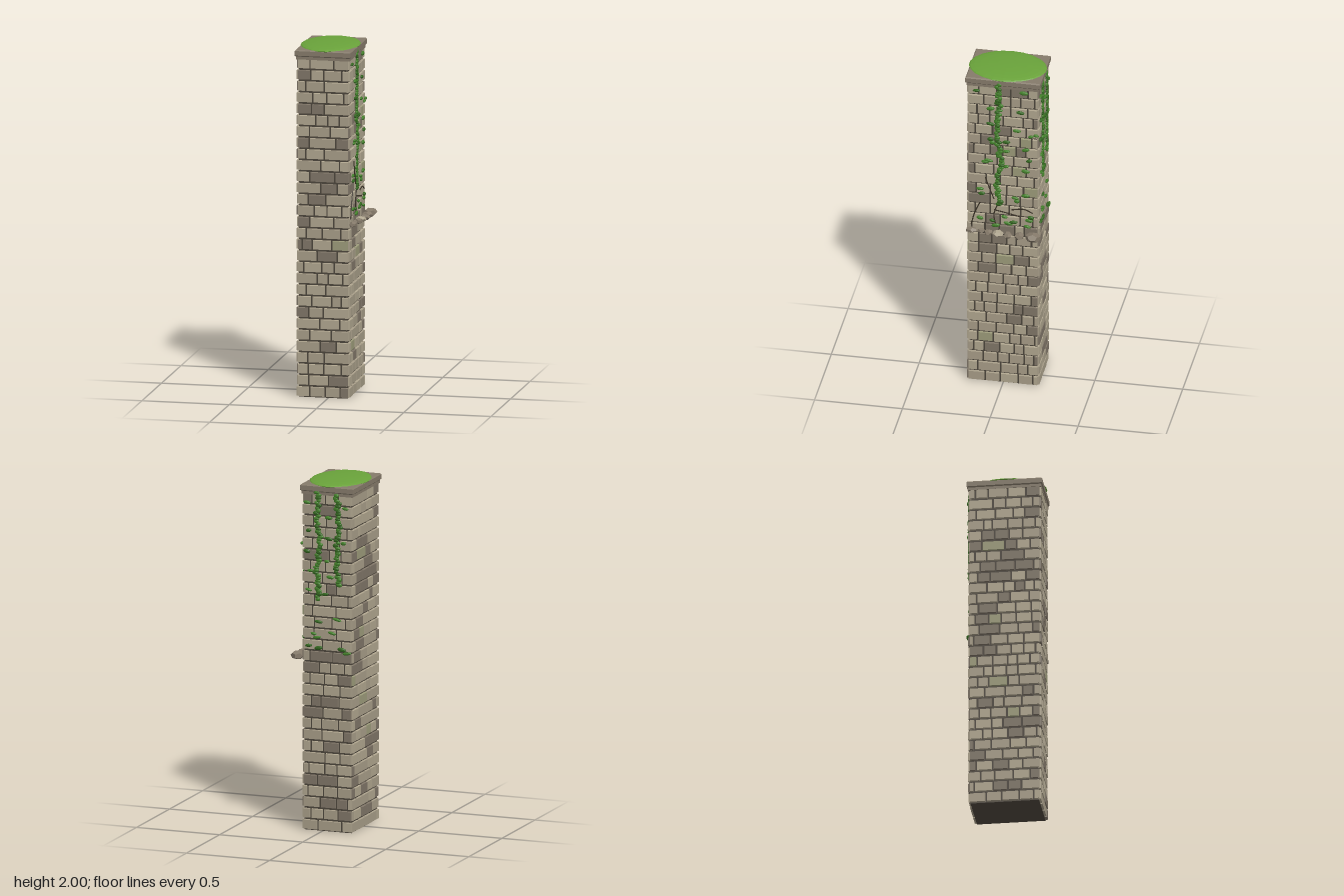
import * as THREE from 'three';
import { mergeGeometries } from 'three/addons/utils/BufferGeometryUtils.js';

const paint = (name, color) => {
  const m = new THREE.MeshStandardMaterial({ color });
  m.name = name;
  return m;
};

const CX = -0.03, HX = 0.15, HZ = 0.203;   // pillar centre and half sizes
const ROWS = 30, TOP = 1.935, PITCH = TOP / ROWS;

export function createModel() {
  const mats = {
    mortar: paint('mortar', 0x4c453b),
    brick: paint('brick', 0xa69c87),
    paleBrick: paint('paleBrick', 0xafa58e),
    darkBrick: paint('darkBrick', 0x7f7567),
    mossyBrick: paint('mossyBrick', 0x9b9a79),
    stone: paint('stone', 0x857a6a),
    moss: paint('moss', 0x69a23a),
    leaf: paint('leaf', 0x43802a),
    darkLeaf: paint('darkLeaf', 0x33661f),
    twig: paint('twig', 0x3c3428),
  };
  let seed = 71;
  const rnd = () => (seed = (seed * 16807) % 2147483647) / 2147483647;
  const vary = (a) => (rnd() * 2 - 1) * a;

  const flat = (g) => {
    const f = g.index ? g.toNonIndexed() : g;
    f.computeVertexNormals();
    return f;
  };
  const add = (parent, name, geo, mat) => {
    const mesh = new THREE.Mesh(geo, mat);
    mesh.name = name;
    parent.add(mesh);
    return mesh;
  };

  const model = new THREE.Group();
  model.name = 'mossyPillar';

  // Mortar core
  const core = new THREE.BoxGeometry(2 * HX - 0.02, TOP + 0.01, 2 * HZ - 0.02);
  add(model, 'mortarCore', core.translate(CX, (TOP + 0.01) / 2, 0), mats.mortar);

  // One side of the pillar: local x runs along the wall, local z points outward
  const makeWall = (name, angle, half, out) => {
    const wall = new THREE.Group();
    wall.name = name;
    wall.position.x = CX;
    wall.rotation.y = angle;
    model.add(wall);
    return { wall, half, out };
  };
  const walls = [
    makeWall('frontWall', 0, HX, HZ),
    makeWall('rightWall', Math.PI / 2, HZ, HX),
    makeWall('backWall', Math.PI, HX, HZ),
    makeWall('leftWall', -Math.PI / 2, HZ, HX),
  ];

  // Brick with a chamfered outer face
  const brickGeo = (w, h, d) => {
    const g = new THREE.BoxGeometry(w, h, d);
    const p = g.attributes.position;
    for (let i = 0; i < p.count; i++) {
      if (p.getZ(i) < 0) continue;
      p.setX(i, p.getX(i) - Math.sign(p.getX(i)) * 0.003);
      p.setY(i, p.getY(i) - Math.sign(p.getY(i)) * 0.003);
    }
    return flat(g);
  };

  // Courses of random-length bricks on every side
  for (const { wall, half, out } of walls) {
    const sets = { brick: [], paleBrick: [], darkBrick: [], mossyBrick: [] };
    for (let r = 0; r < ROWS; r++) {
      const count = Math.round(half / 0.045) + (rnd() < 0.4 ? 1 : 0);
      const lengths = Array.from({ length: count }, () => 0.6 + rnd() * 0.8);
      if (r % 2) lengths[0] *= 0.5; else lengths[count - 1] *= 0.5;
      const unit = (2 * half - 0.004) / lengths.reduce((a, b) => a + b, 0);
      let u = -half + 0.002;
      for (const l of lengths) {
        const w = l * unit, k = rnd(), d = 0.018 + vary(0.002);
        const kind = k < 0.43 ? 'brick' : k < 0.76 ? 'paleBrick' : k < 0.95 ? 'darkBrick' : 'mossyBrick';
        sets[kind].push(brickGeo(w - 0.007, PITCH - 0.008, d)
          .translate(u + w / 2, (r + 0.5) * PITCH, out - 0.016 + d / 2));
        u += w;
      }
    }
    for (const [kind, list] of Object.entries(sets)) {
      if (list.length) add(wall, kind + 'Courses', mergeGeometries(list), mats[kind]);
    }
  }

  // Cap slab with chamfered rim and a narrow course below it
  add(model, 'capNeck', new THREE.BoxGeometry(0.308, 0.02, 0.414).translate(CX, 1.937, 0), mats.stone);
  const rim = new THREE.Shape();
  rim.moveTo(-0.154, -0.207).lineTo(0.154, -0.207).lineTo(0.154, 0.207).lineTo(-0.154, 0.207).closePath();
  const slab = new THREE.ExtrudeGeometry(rim, {
    depth: 0.026, bevelEnabled: true, bevelThickness: 0.006, bevelSize: 0.006, bevelSegments: 1,
  });
  add(model, 'capSlab', slab.rotateX(-Math.PI / 2).translate(CX, 1.949, 0), mats.stone);

  // Moss cushion on top
  const cushion = new THREE.SphereGeometry(1, 22, 12).scale(0.166, 0.02, 0.221);
  add(model, 'mossCushion', flat(cushion.translate(CX, 1.98, 0)), mats.moss);

  // Leaf blob on a wall
  const leafGeo = (u, y, out, w, h) => flat(new THREE.IcosahedronGeometry(1, 1)
    .scale(w, h, 0.009).rotateZ(vary(0.25)).translate(u, y, out + 0.006));
  const tube = (pts, out, r) => new THREE.TubeGeometry(new THREE.CatmullRomCurve3(
    pts.map(([u, y]) => new THREE.Vector3(u, y, out + 0.004))), 24, r, 5);

  // Hanging vines as stem plus leaf clusters, and loose leaves around them
  const growIvy = ({ wall, out }, vines, loose) => {
    const leaves = [[], []];
    for (const pts of vines) {
      add(wall, 'vineStem', tube(pts, out, 0.005), mats.darkLeaf);
      const curve = new THREE.CatmullRomCurve3(pts.map(([u, y]) => new THREE.Vector3(u, y, 0)));
      const n = Math.round(curve.getLength() / 0.015);
      for (let i = 0; i <= n; i++) {
        const p = curve.getPointAt(i / n);
        leaves[rnd() < 0.6 ? 0 : 1].push(
          leafGeo(p.x + vary(0.01), p.y, out, 0.012 + rnd() * 0.008, 0.009 + rnd() * 0.006));
      }
    }
    for (const [u, y] of loose) {
      leaves[rnd() < 0.6 ? 0 : 1].push(leafGeo(u, y, out, 0.016 + rnd() * 0.012, 0.008 + rnd() * 0.005));
    }
    add(wall, 'ivyLeaves', mergeGeometries(leaves[0]), mats.leaf);
    add(wall, 'ivyDarkLeaves', mergeGeometries(leaves[1]), mats.darkLeaf);
  };
  growIvy(walls[1],
    [[[-0.03, 1.95], [-0.02, 1.8], [-0.035, 1.7], [-0.03, 1.57], [-0.012, 1.45], [-0.03, 1.3], [-0.018, 1.17]]],
    [[-0.15, 1.9], [0.12, 1.91], [-0.07, 1.79], [0.1, 1.78], [-0.07, 1.69], [0.08, 1.66], [0.16, 1.63],
      [0.19, 1.64], [-0.06, 1.57], [-0.07, 1.59], [0.02, 1.58], [0.02, 1.52], [0.13, 1.54], [0.15, 1.47],
      [-0.1, 1.44], [-0.08, 1.45], [0.02, 1.42], [0.13, 1.4], [0.13, 1.24], [-0.13, 1.26], [-0.12, 1.23],
      [0.08, 1.2], [0.07, 1.22], [0.16, 1.1], [0.15, 1.08], [-0.13, 1.07], [-0.04, 1.03], [0.03, 1.05],
      [0.06, 1.06], [0.14, 1.04], [-0.06, 1.06], [0.01, 1.09]]);
  growIvy(walls[2],
    [[[-0.055, 1.94], [-0.06, 1.8], [-0.045, 1.65], [-0.06, 1.5], [-0.05, 1.33]],
      [[0.06, 1.93], [0.07, 1.75], [0.058, 1.6], [0.068, 1.42]]],
    [[-0.12, 1.88], [0.11, 1.86], [0.01, 1.8], [-0.11, 1.72], [0.01, 1.68], [0.1, 1.66], [-0.12, 1.6],
      [0, 1.55], [-0.1, 1.49], [0.02, 1.46], [-0.11, 1.38], [-0.01, 1.36], [-0.05, 1.2], [0.06, 1.22],
      [-0.08, 1.13], [-0.06, 1.11], [0.03, 1.14], [-0.11, 1.06], [-0.05, 1.05], [0.09, 1.05], [0.12, 1.03]]);

  // Bare twigs low on the right side
  const twigs = [
    [[-0.1, 1.34], [-0.08, 1.28], [-0.05, 1.2]],
    [[-0.13, 1.17], [-0.16, 1.1], [-0.18, 1.02]],
    [[-0.05, 1.13], [0.03, 1.115], [0.1, 1.1]],
    [[-0.03, 1.17], [-0.05, 1.1], [-0.04, 1.03]],
    [[0.05, 1.14], [0.12, 1.15], [0.17, 1.13]],
  ];
  for (const t of twigs) add(walls[1].wall, 'twig', tube(t, HX, 0.0035), mats.twig);

  // Row of rough stones jutting from the right side: x, z, half sizes
  const stones = [
    [0.157, -0.178, 0.04, 0.026, 0.046], [0.157, -0.1, 0.032, 0.02, 0.028],
    [0.158, -0.035, 0.03, 0.018, 0.024], [0.148, 0.022, 0.032, 0.017, 0.031],
    [0.148, 0.077, 0.024, 0.017, 0.025], [0.134, 0.122, 0.017, 0.014, 0.021],
    [0.138, 0.178, 0.024, 0.017, 0.034],
  ];
  stones.forEach(([x, z, a, b, c], i) => {
    const g = new THREE.DodecahedronGeometry(1, 0).rotateX(i * 1.3).rotateY(i * 0.9);
    add(model, 'ledgeStone', flat(g.scale(a, b, c).translate(x, 0.993, z)),
      i === 3 ? mats.paleBrick : mats.stone);
  });

  return model;
}
